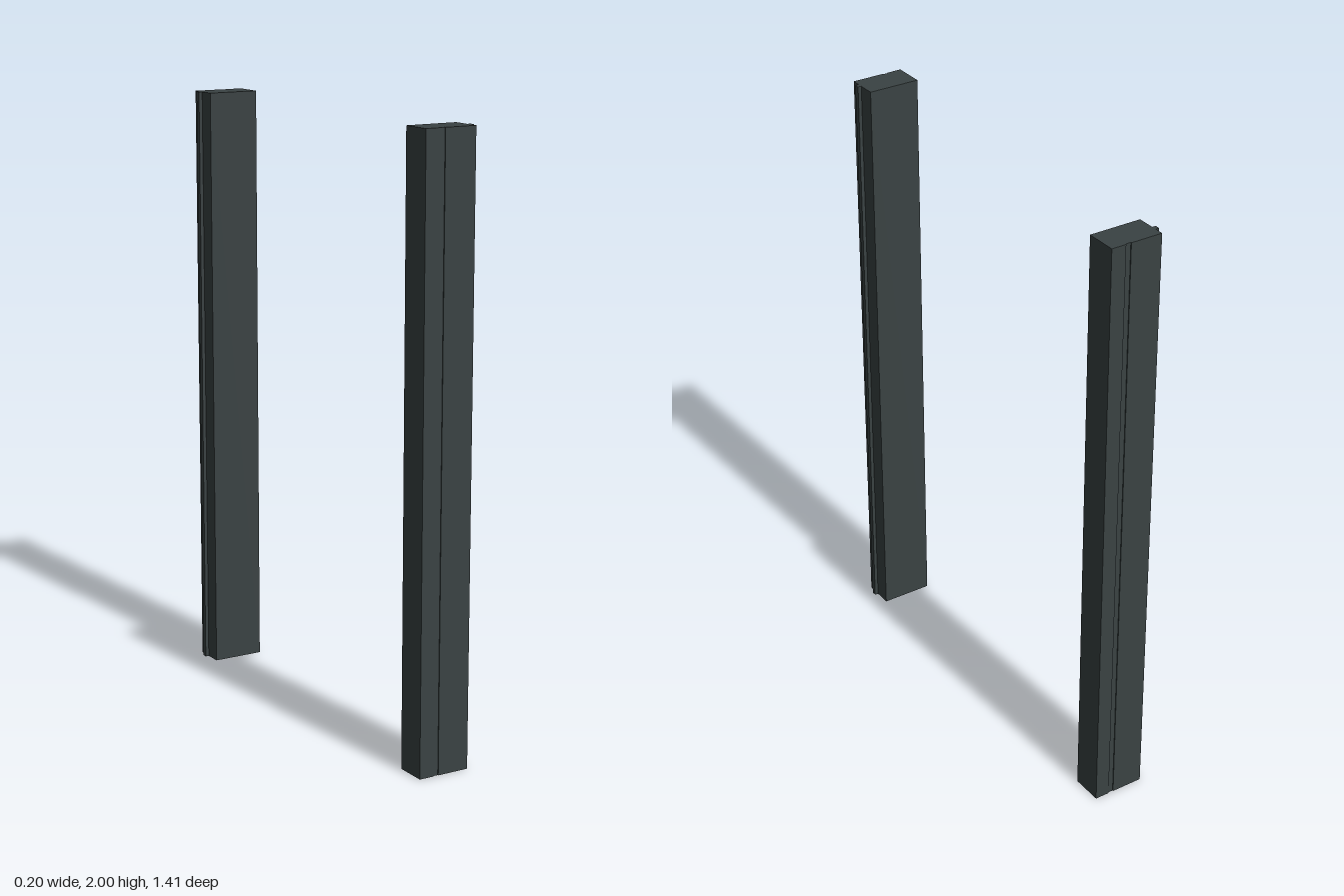
import * as THREE from 'three';

const HEIGHT = 2;

// Post cross-section: a rectangle with a side fin and a shallow groove in the outer face
function postProfile() {
  const w = 0.088, inner = 0.602, outer = 0.707;
  const points = [
    [-w, inner], [w, inner],
    [w, 0.66], [0.1, 0.66], [0.1, 0.677], [w, 0.677],
    [w, outer],
    [-0.02, outer], [-0.02, outer - 0.003], [-0.038, outer - 0.003], [-0.038, outer],
    [-w, outer],
  ];
  // shape y becomes -z once the extrusion is stood upright
  return new THREE.Shape(points.map(([x, z]) => new THREE.Vector2(x, -z)));
}

export function createModel() {
  const model = new THREE.Group();
  model.name = 'postPair';
  const material = new THREE.MeshStandardMaterial({ color: 0x3a4243 });

  const geometry = new THREE.ExtrudeGeometry(postProfile(), { depth: HEIGHT, bevelEnabled: false });
  geometry.rotateX(-Math.PI / 2);

  // The back post is the front post turned half way round the centre
  ['frontPost', 'backPost'].forEach((name, i) => {
    const post = new THREE.Mesh(geometry, material);
    post.name = name;
    post.rotation.y = i * Math.PI;
    model.add(post);
  });

  return model;
}
